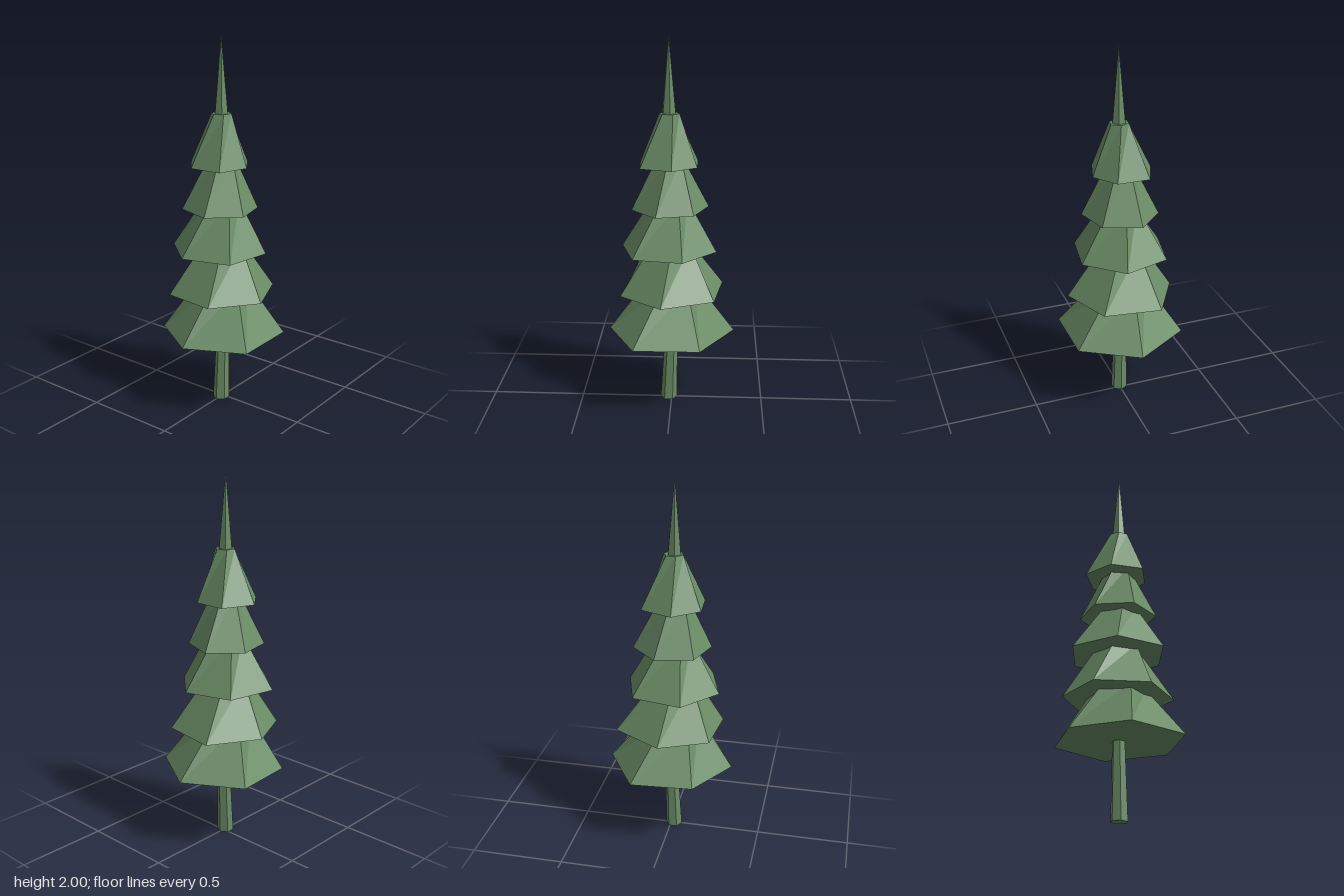
import * as THREE from 'three';

const SIDES = 6;

// Ring of [x, z] corners round an off-centre axis
function ring(radius, cx = 0, cz = 0, turn = 0) {
  return Array.from({ length: SIDES }, (_, i) => {
    const a = turn + (i / SIDES) * Math.PI * 2;
    return [cx + radius * Math.cos(a), cz + radius * Math.sin(a)];
  });
}

// Smaller ring above a rim, twisted against it
function twistedRing(rim, radius, cx, twist) {
  return rim.map(([x, z]) => {
    const a = Math.atan2(z, x - cx) - twist;
    return [cx + radius * Math.cos(a), radius * Math.sin(a)];
  });
}

// Closed, faceted solid between two rings
function loft(lower, upper, y0, y1) {
  const pos = [];
  const middle = (pts) => [0, 1].map((k) => pts.reduce((s, p) => s + p[k], 0) / SIDES);
  const put = (p, y) => pos.push(p[0], y, p[1]);
  const lowMid = middle(lower);
  const highMid = middle(upper);
  for (let i = 0; i < SIDES; i++) {
    const j = (i + 1) % SIDES;
    put(lower[i], y0); put(upper[i], y1); put(lower[j], y0);
    put(lower[j], y0); put(upper[i], y1); put(upper[j], y1);
    put(lowMid, y0); put(lower[i], y0); put(lower[j], y0);
    put(highMid, y1); put(upper[j], y1); put(upper[i], y1);
  }
  const geo = new THREE.BufferGeometry();
  geo.setAttribute('position', new THREE.Float32BufferAttribute(pos, 3));
  geo.computeVertexNormals();
  return geo;
}

// Branch tiers from the lowest up: uneven rim corners and the radius at the top
const TIERS = [
  { y: 0.41, top: 0.14, rim: [[0.34, -0.005], [0.16, 0.295], [-0.19, 0.3], [-0.34, -0.005], [-0.17, -0.28], [0.16, -0.305]] },
  { y: 0.64, top: 0.12, rim: [[0.275, -0.135], [0.23, 0.17], [-0.045, 0.285], [-0.27, 0.11], [-0.24, -0.175], [0.015, -0.29]] },
  { y: 0.875, top: 0.095, rim: [[0.24, 0.045], [0.065, 0.235], [-0.195, 0.195], [-0.27, -0.06], [-0.1, -0.26], [0.165, -0.205]] },
  { y: 1.1, top: 0.075, rim: [[0.195, -0.055], [0.12, 0.14], [-0.075, 0.19], [-0.21, 0.04], [-0.15, -0.155], [0.05, -0.2]] },
  { y: 1.335, top: 0.053, rim: [[0.135, -0.115], [0.135, 0.06], [0.005, 0.15], [-0.16, 0.1], [-0.17, -0.075], [-0.035, -0.185]] },
];

export function createModel() {
  const tree = new THREE.Group();
  tree.name = 'pineTree';
  const green = new THREE.MeshStandardMaterial({ color: 0x6a8c66, flatShading: true });
  const add = (name, geo) => {
    const mesh = new THREE.Mesh(geo, green);
    mesh.name = name;
    tree.add(mesh);
  };

  // Leaning trunk
  add('trunk', loft(ring(0.045, -0.016), ring(0.033, 0), 0, 0.45));

  // Overlapping tiers of branches
  TIERS.forEach(({ y, top, rim }, i) => {
    add(`branchTier${i + 1}`, loft(rim, twistedRing(rim, top, -0.012, 0.26), y, y + 0.272));
  });

  // Pointed treetop
  add('treetop', loft(ring(0.048, -0.015, 0, 0.3), ring(0.0005, -0.016), 1.5, 2));
  return tree;
}
